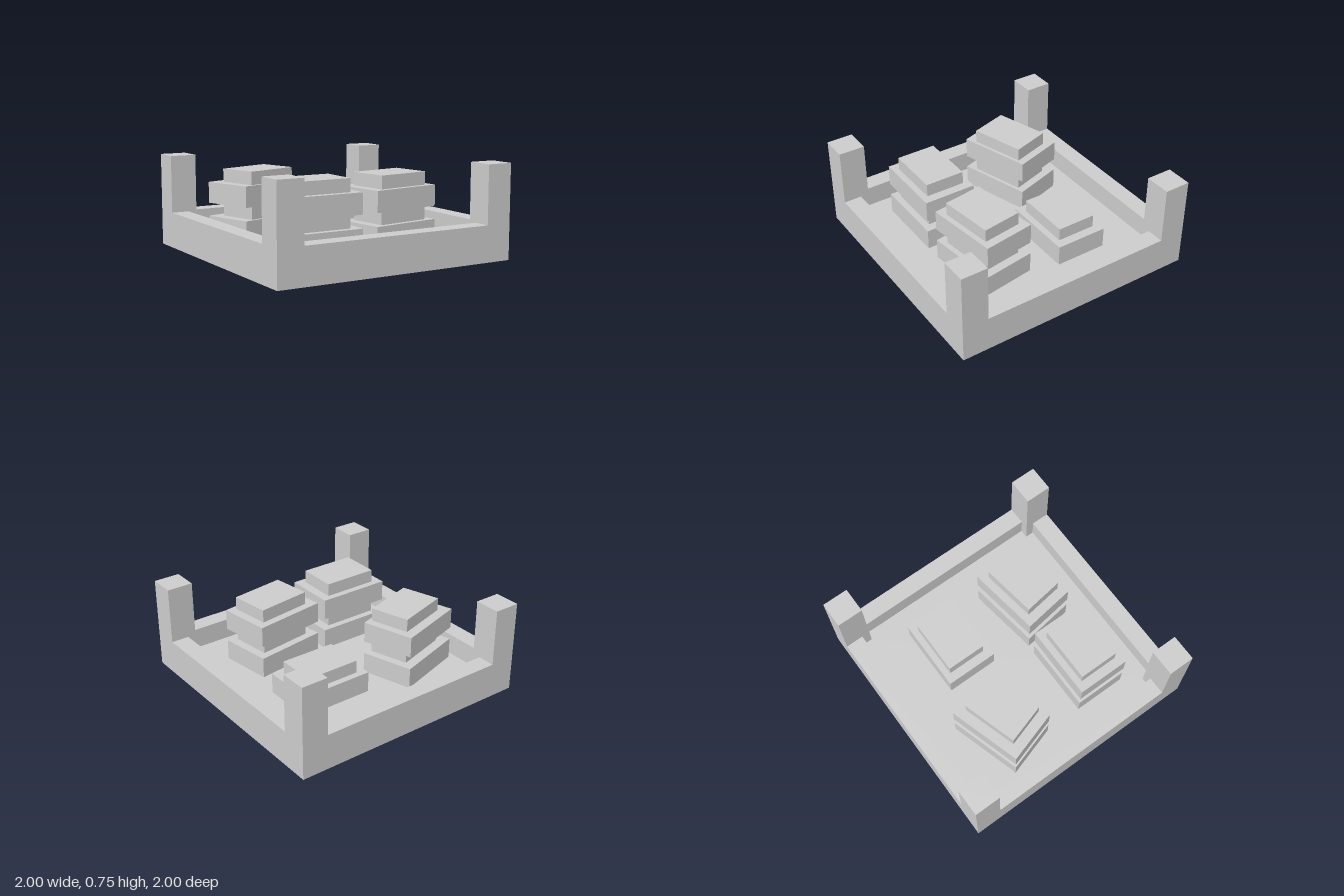
import * as THREE from 'three';

const material = new THREE.MeshStandardMaterial({ color: 0xcccccc, flatShading: true });

// Box placed by its centre in x and z and by its bottom and top heights
function box(name, w, d, y0, y1, x = 0, z = 0) {
  const mesh = new THREE.Mesh(new THREE.BoxGeometry(w, y1 - y0, d), material);
  mesh.name = name;
  mesh.position.set(x, (y0 + y1) / 2, z);
  return mesh;
}

const FLOOR = 0.12, RIM = 0.286, POST = 0.745;
const WALL = 0.145, POST_W = 0.212;
const LAYER = 0.27, SLAB = 0.166;

// Open tray with a solid floor, four walls and corner posts
function createTray() {
  const tray = new THREE.Group();
  tray.name = 'tray';
  tray.add(box('floor', 2, 2, 0, FLOOR));
  const w = 1 - WALL / 2, p = 1 - POST_W / 2, span = 2 - 2 * POST_W;
  for (const s of [-1, 1]) {
    tray.add(box('sideWall', WALL, span, FLOOR, RIM, s * w, 0));
    tray.add(box('endWall', span, WALL, FLOOR, RIM, 0, s * w));
    for (const t of [-1, 1]) {
      tray.add(box('cornerPost', POST_W, POST_W, FLOOR, POST, s * p, t * p));
    }
  }
  return tray;
}

// Pile of stepped blocks: a wide slab with a narrower cap, repeated upwards
function createStack({ x, z, turn, layers, capX = 0, capZ = 0 }) {
  const stack = new THREE.Group();
  stack.name = 'blockStack';
  for (let i = 0; i < layers; i++) {
    const y = FLOOR + i * LAYER;
    const slab = box('slab', 0.594, 0.425, y, y + SLAB, x, z);
    const cap = box('cap', 0.446, 0.32, y + SLAB, y + LAYER, x + capX, z + capZ);
    slab.rotation.y = cap.rotation.y = turn;
    stack.add(slab, cap);
  }
  return stack;
}

export function createModel() {
  const model = new THREE.Group();
  model.name = 'trayOfBlocks';
  model.add(createTray());
  const stacks = [
    { x: -0.387, z: 0.425, turn: 0, layers: 2 },
    { x: 0.305, z: 0.383, turn: 0.143, layers: 2, capX: 0.006, capZ: 0.009 },
    { x: -0.459, z: -0.382, turn: 0.297, layers: 2, capX: 0.018, capZ: 0.022 },
    { x: 0.34, z: -0.303, turn: 0, layers: 1 },
  ];
  for (const s of stacks) model.add(createStack(s));
  return model;
}
